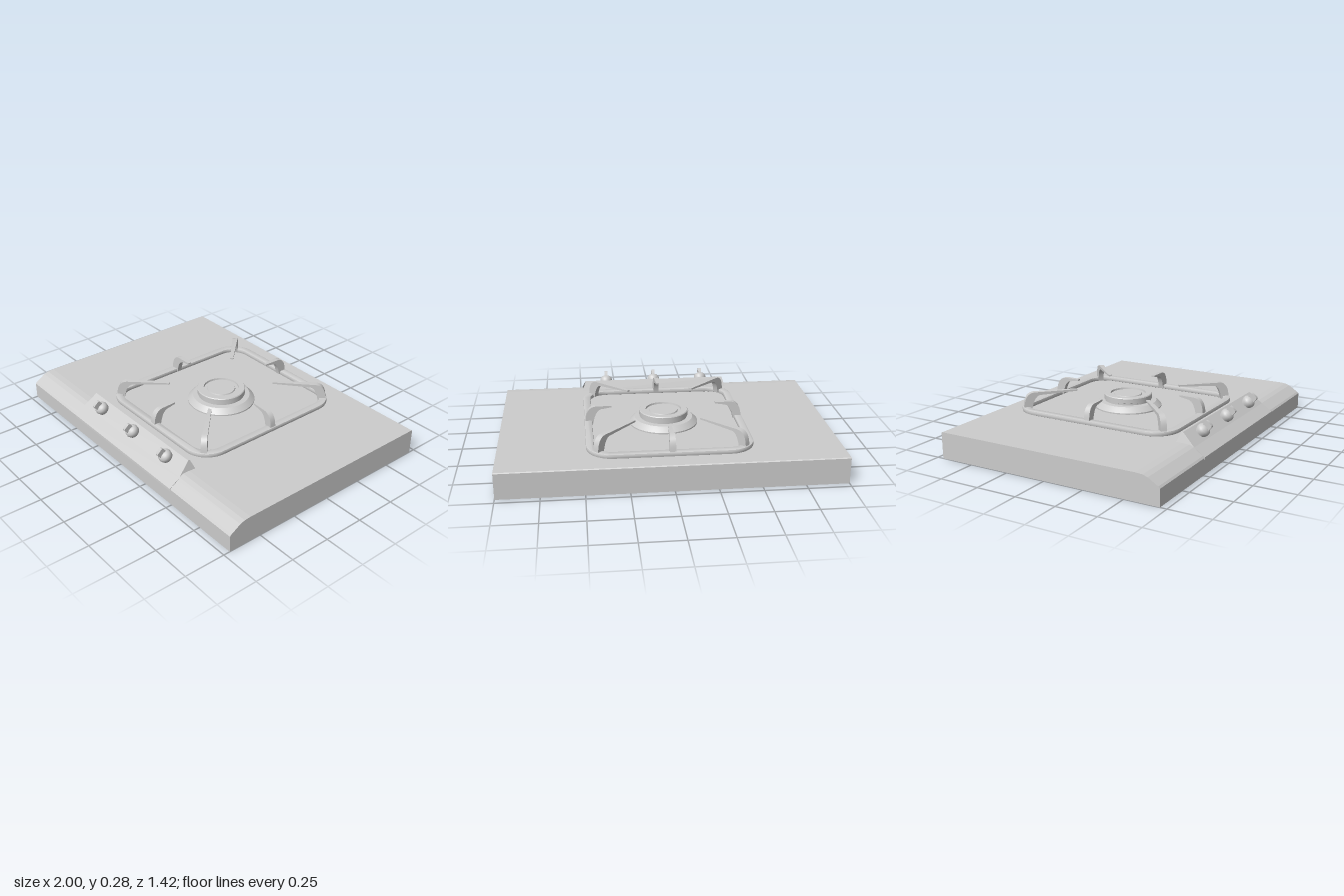
import * as THREE from 'three';
import { toCreasedNormals } from 'three/addons/utils/BufferGeometryUtils.js';

const mat = new THREE.MeshStandardMaterial({ color: 0xcccccc, side: THREE.DoubleSide });
const CZ = -0.06; // burner centre in z

function add(parent, name, geo) {
  const m = new THREE.Mesh(geo, mat);
  m.name = name;
  parent.add(m);
  return m;
}

// Extrude a (z, y) profile across the width, centred on x = 0
function profileAcross(points, width) {
  const shape = new THREE.Shape(points.map(p => new THREE.Vector2(...p)));
  const geo = new THREE.ExtrudeGeometry(shape, { depth: width, bevelEnabled: false });
  return geo.translate(0, 0, -width / 2).rotateY(-Math.PI / 2);
}

function roundedRect(Type, hx, hy, r) {
  const s = new Type();
  s.absarc(hx - r, hy - r, r, 0, Math.PI / 2);
  s.absarc(-hx + r, hy - r, r, Math.PI / 2, Math.PI);
  s.absarc(-hx + r, -hy + r, r, Math.PI, Math.PI * 1.5);
  s.absarc(hx - r, -hy + r, r, Math.PI * 1.5, Math.PI * 2);
  s.closePath();
  return s;
}

// Arched pan support: foot at u = 0, tip at u = length, narrowing to the tip
function fingerGeometry(length) {
  const s = new THREE.Shape();
  s.moveTo(0, 0.17);
  s.lineTo(0.004, 0.205);
  s.quadraticCurveTo(0.012, 0.275, 0.065, 0.279);
  s.lineTo(length, 0.279);
  s.lineTo(length, 0.269);
  s.lineTo(0.1, 0.26);
  s.quadraticCurveTo(0.062, 0.25, 0.05, 0.17);
  s.closePath();
  const geo = new THREE.ExtrudeGeometry(s, { depth: 1, bevelEnabled: false, curveSegments: 8 });
  geo.translate(0, 0, -0.5);
  const p = geo.attributes.position;
  for (let i = 0; i < p.count; i++) {
    p.setZ(i, p.getZ(i) * THREE.MathUtils.lerp(0.037, 0.021, p.getX(i) / length));
  }
  return toCreasedNormals(geo, 0.6);
}

function createGrate() {
  const grate = new THREE.Group();
  grate.name = 'grate';
  grate.position.z = CZ;

  // Rounded frame
  const frame = roundedRect(THREE.Shape, 0.482, 0.532, 0.15);
  frame.holes.push(roundedRect(THREE.Path, 0.447, 0.497, 0.115));
  const ring = new THREE.ExtrudeGeometry(frame, {
    depth: 0.013, bevelThickness: 0.007, bevelSize: 0.006, bevelSegments: 2, curveSegments: 8,
  });
  add(grate, 'grateFrame', toCreasedNormals(ring.rotateX(-Math.PI / 2).translate(0, 0.169, 0), 0.6));

  // Eight fingers pointing inwards
  const short = fingerGeometry(0.163), long = fingerGeometry(0.335);
  const place = (geo, x, z, dx, dz) => {
    const f = add(grate, 'grateFinger', geo);
    f.position.set(x, 0, z);
    f.rotation.y = Math.atan2(-dz, dx);
  };
  for (const s of [1, -1]) {
    place(short, s * 0.484, 0, -s, 0);
    place(short, 0, s * 0.532, 0, -s);
    for (const t of [1, -1]) place(long, s * 0.436, t * 0.49, -s, -t);
  }
  return grate;
}

function createKnob() {
  const knob = new THREE.Group();
  knob.name = 'knob';
  const body = [[0.034, -0.01], [0.038, 0.008], [0.041, 0.022], [0.038, 0.036], [0.028, 0.048], [0.014, 0.054], [0, 0.055]];
  add(knob, 'knobBody', new THREE.LatheGeometry(body.map(p => new THREE.Vector2(...p)), 24));
  // Rounded grip standing on the body
  const s = roundedRect(THREE.Shape, 0.025, 0.029, 0.012);
  const grip = new THREE.ExtrudeGeometry(s, { depth: 0.02, bevelEnabled: false, curveSegments: 5 });
  grip.translate(0, 0, -0.01).rotateY(Math.PI / 2).translate(0, 0.055, 0);
  add(knob, 'knobGrip', toCreasedNormals(grip, 0.6));
  return knob;
}

export function createModel() {
  const group = new THREE.Group();
  group.name = 'gasHob';

  // Body with a sloping front edge
  add(group, 'body', profileAcross([
    [-0.71, 0], [0.71, 0], [0.71, 0.1], [0.7, 0.11], [0.64, 0.147], [0.61, 0.157], [0.57, 0.16],
    [-0.705, 0.16], [-0.71, 0.155],
  ], 2));

  // Raised control panel, its ends leaning in towards the ridge
  const panel = profileAcross([
    [0.713, 0.09], [0.712, 0.104], [0.645, 0.15], [0.565, 0.219], [0.555, 0.219], [0.53, 0.158], [0.53, 0.09],
  ], 0.98);
  const p = panel.attributes.position;
  for (let i = 0; i < p.count; i++) {
    const lift = Math.max(0, p.getY(i) - 0.15) / 0.07;
    p.setX(i, p.getX(i) * (1 - 0.045 * lift));
  }
  panel.computeVertexNormals();
  add(group, 'controlPanel', panel);

  // Three knobs set square to the sloping panel
  for (const x of [-0.325, 0, 0.325]) {
    const knob = createKnob();
    knob.position.set(x, 0.183, 0.606);
    knob.rotation.x = 0.72;
    group.add(knob);
  }

  // Burner: flared skirt, collar and recessed cap
  const burner = [
    [0.21, 0.158], [0.21, 0.168], [0.19, 0.188], [0.178, 0.198], [0.145, 0.2], [0.145, 0.21], [0.15, 0.212],
    [0.15, 0.24], [0.146, 0.245], [0.11, 0.245], [0.108, 0.234], [0.088, 0.234], [0.085, 0.241], [0, 0.241],
  ].map(q => new THREE.Vector2(...q));
  const lathe = toCreasedNormals(new THREE.LatheGeometry(burner, 48), 0.5);
  add(group, 'burner', lathe).position.z = CZ;

  group.add(createGrate());
  return group;
}
